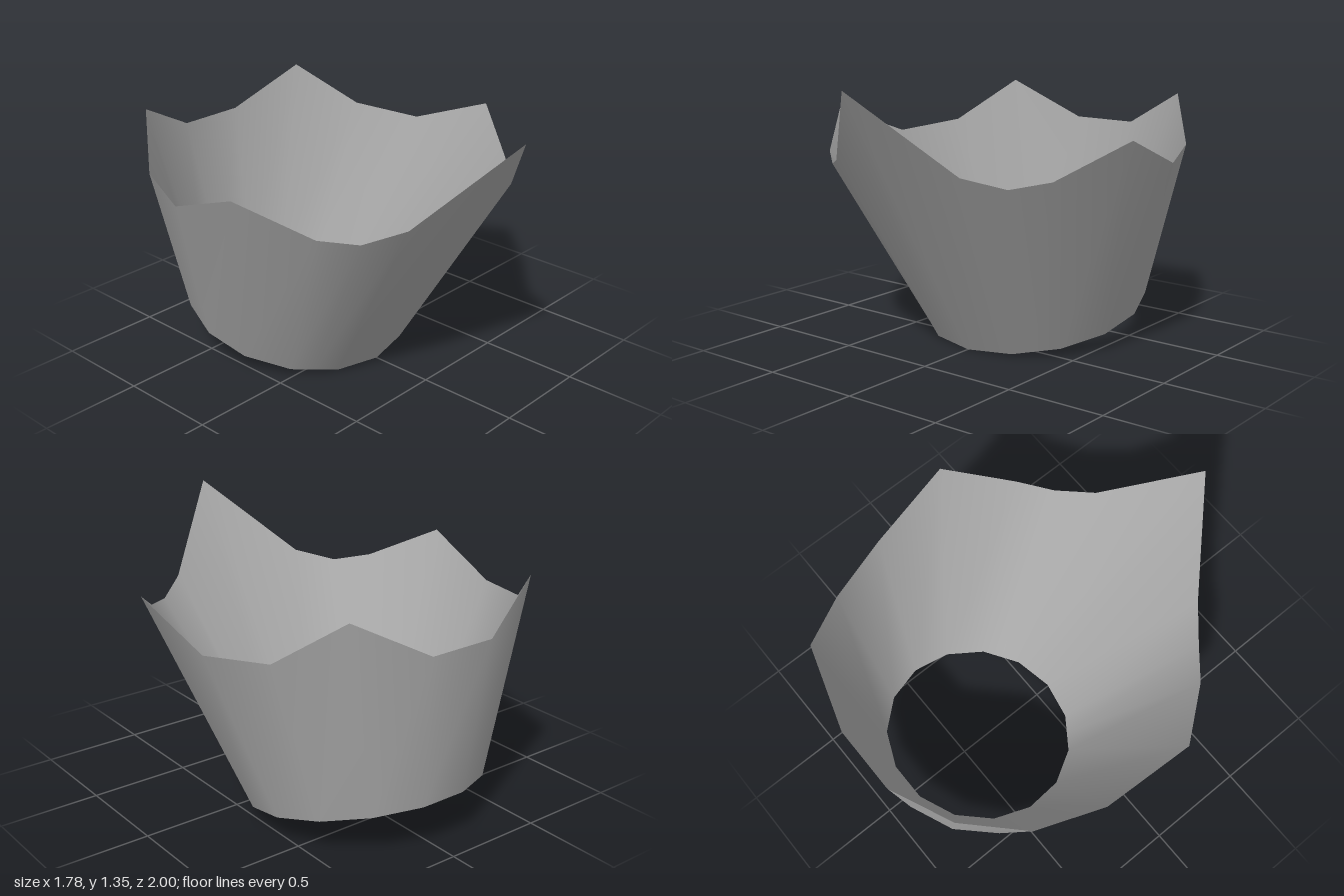
import * as THREE from 'three';

// Steps round the ring: fifteen sides, plus a midpoint under each front dip.
const STEPS = [0, 1, 1.5, 2, 3, 4, 5, 6, 7];

// Rim points on the +x side, from the front peak to the back.
const RIM = [
  [0, 1.345, 1], [0.37, 0.97, 0.68], [0.53, 0.918, 0.55], [0.675, 0.95, 0.425],
  [0.89, 1.115, 0.135], [0.845, 0.955, -0.29], [0.725, 0.99, -0.62],
  [0.52, 1.2, -0.88], [0.17, 1.01, -1],
];

// Completes a half ring by mirroring it across x = 0.
function mirrorRing(half) {
  const other = half.slice(1).reverse().map(([x, y, z]) => [-x, y, z]);
  return [...half, ...other];
}

// Fifteen-sided ring lying in the tilted plane of the base.
function baseRing(radiusX, radiusZ, centreZ) {
  const corner = (k) => {
    const a = (k * Math.PI * 2) / 15;
    const z = centreZ + radiusZ * Math.cos(a);
    return [radiusX * Math.sin(a), (0.18 - z) * 0.232, z];
  };
  return mirrorRing(STEPS.map((s) => {
    const p = corner(Math.floor(s));
    const q = corner(Math.ceil(s));
    return p.map((v, i) => (v + q[i]) / 2);
  }));
}

// Closed band of faces between two rings.
function band(name, lower, upper, material) {
  const n = lower.length;
  const index = [];
  for (let i = 0; i < n; i++) {
    const j = (i + 1) % n;
    index.push(i, j, n + j, i, n + j, n + i);
  }
  const geometry = new THREE.BufferGeometry();
  geometry.setAttribute('position', new THREE.Float32BufferAttribute([...lower, ...upper].flat(), 3));
  geometry.setIndex(index);
  geometry.computeVertexNormals();
  const mesh = new THREE.Mesh(geometry, material);
  mesh.name = name;
  return mesh;
}

export function createModel() {
  const metal = new THREE.MeshStandardMaterial({ color: 0xa8a8a8, side: THREE.DoubleSide });
  metal.name = 'grey metal';

  const rim = mirrorRing(RIM);
  const outerBase = baseRing(0.572, 0.556, -0.376);
  const innerBase = baseRing(0.483, 0.468, -0.393);

  const crown = new THREE.Group();
  crown.name = 'crown';
  crown.add(
    band('outerWall', outerBase, rim, metal),
    band('innerWall', rim, innerBase, metal), // meets the outer wall in a sharp rim
    band('bottomEdge', innerBase, outerBase, metal),
  );
  return crown;
}
